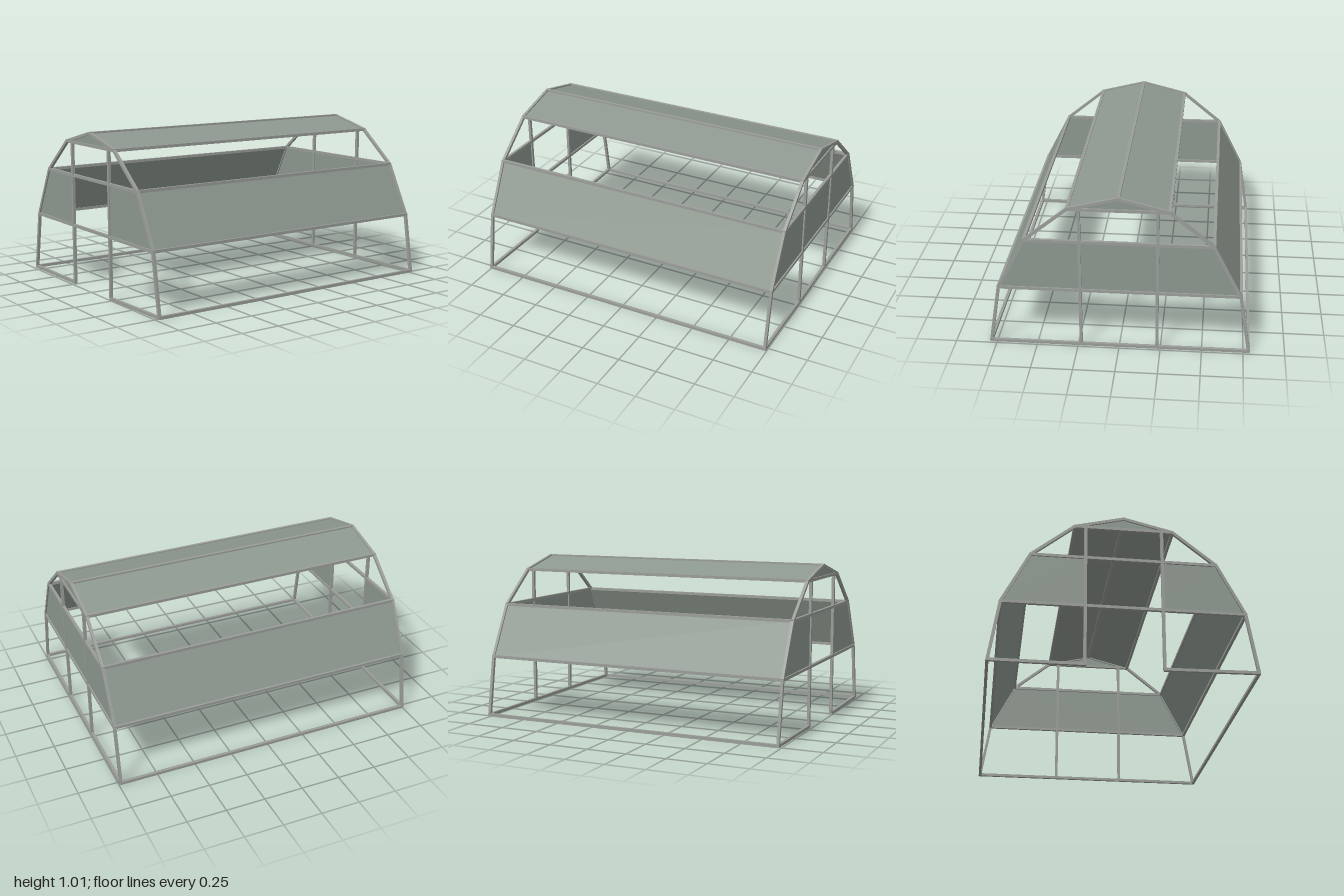
import * as THREE from 'three';

export function createModel() {
  const model = new THREE.Group();
  model.name = 'greenhouseFrame';

  const tubeMat = new THREE.MeshStandardMaterial({ color: 0x9a9d98 });
  tubeMat.name = 'greyTube';
  const panelMat = new THREE.MeshStandardMaterial({ color: 0x8d988f, side: THREE.DoubleSide });
  panelMat.name = 'sagePanel';

  const T = 0.018; // tube thickness
  const Z = 0.99; // end frame position
  const DOOR = 0.23; // door post position
  // half section from the ground to the ridge
  const section = [[0.782, 0.018], [0.722, 0.392], [0.557, 0.714], [0.297, 0.925], [0, 0.999]];

  // square tube between two points
  function bar(name, a, b) {
    const from = new THREE.Vector3(...a), to = new THREE.Vector3(...b);
    const mesh = new THREE.Mesh(new THREE.BoxGeometry(T, T, from.distanceTo(to) + T * 0.6), tubeMat);
    mesh.position.copy(from).add(to).multiplyScalar(0.5);
    mesh.lookAt(to);
    mesh.name = name;
    model.add(mesh);
  }

  // flat sheet through three or four corners
  function sheet(name, ...corners) {
    const g = new THREE.BufferGeometry();
    g.setAttribute('position', new THREE.Float32BufferAttribute(corners.flat(), 3));
    g.setIndex(corners.length === 3 ? [0, 1, 2] : [0, 1, 2, 0, 2, 3]);
    g.computeVertexNormals();
    const mesh = new THREE.Mesh(g, panelMat);
    mesh.name = name;
    model.add(mesh);
  }

  // long rails, side walls and roof
  for (const s of [1, -1]) {
    for (const [x, y] of section) {
      if (x > 0 || s > 0) bar('longRail', [s * x, y, -Z], [s * x, y, Z]);
    }
    for (const [i, name] of [[1, 'sidePanel'], [3, 'roofPanel']]) {
      const [x0, y0] = section[i], [x1, y1] = section[i + 1];
      const c = [[s * x0, y0, Z], [s * x0, y0, -Z], [s * x1, y1, -Z], [s * x1, y1, Z]];
      sheet(name, ...(s > 0 ? c : c.reverse()));
    }
  }

  // end frames
  const [, knee, shoulder, eave, ridge] = section;
  const doorX = knee[0] - DOOR;
  for (const z of [Z, -Z]) {
    const front = z > 0;
    for (const s of [1, -1]) {
      for (let i = 0; i < section.length - 1; i++) {
        const [x0, y0] = section[i], [x1, y1] = section[i + 1];
        bar('archTube', [s * x0, y0, z], [s * x1, y1, z]);
      }
      bar('doorPost', [s * DOOR, 0.018, z], [s * DOOR, eave[1], z]);
      // the ground rail leaves the front doorway open
      if (front) {
        bar('groundRail', [s * section[0][0], 0.018, z], [s * DOOR, s > 0 ? 0.01 : 0.018, z]);
        const c = [[s * DOOR, knee[1], z], [s * knee[0], knee[1], z],
          [s * shoulder[0], shoulder[1], z], [s * DOOR, shoulder[1], z]];
        sheet('frontPanel', ...(s > 0 ? c : c.reverse()));
      }
    }
    for (const [x, y] of [knee, shoulder, eave]) bar('crossRail', [-x, y, z], [x, y, z]);
    const gable = [[-eave[0], eave[1], z], [eave[0], eave[1], z], [0, ridge[1], z]];
    sheet('gable', ...(front ? gable : gable.reverse()));
  }
  bar('groundRail', [-section[0][0], 0.018, -Z], [section[0][0], 0.018, -Z]);
  sheet('backPanel', [knee[0], knee[1], -Z], [-knee[0], knee[1], -Z],
    [-shoulder[0], shoulder[1], -Z], [shoulder[0], shoulder[1], -Z]);

  return model;
}
